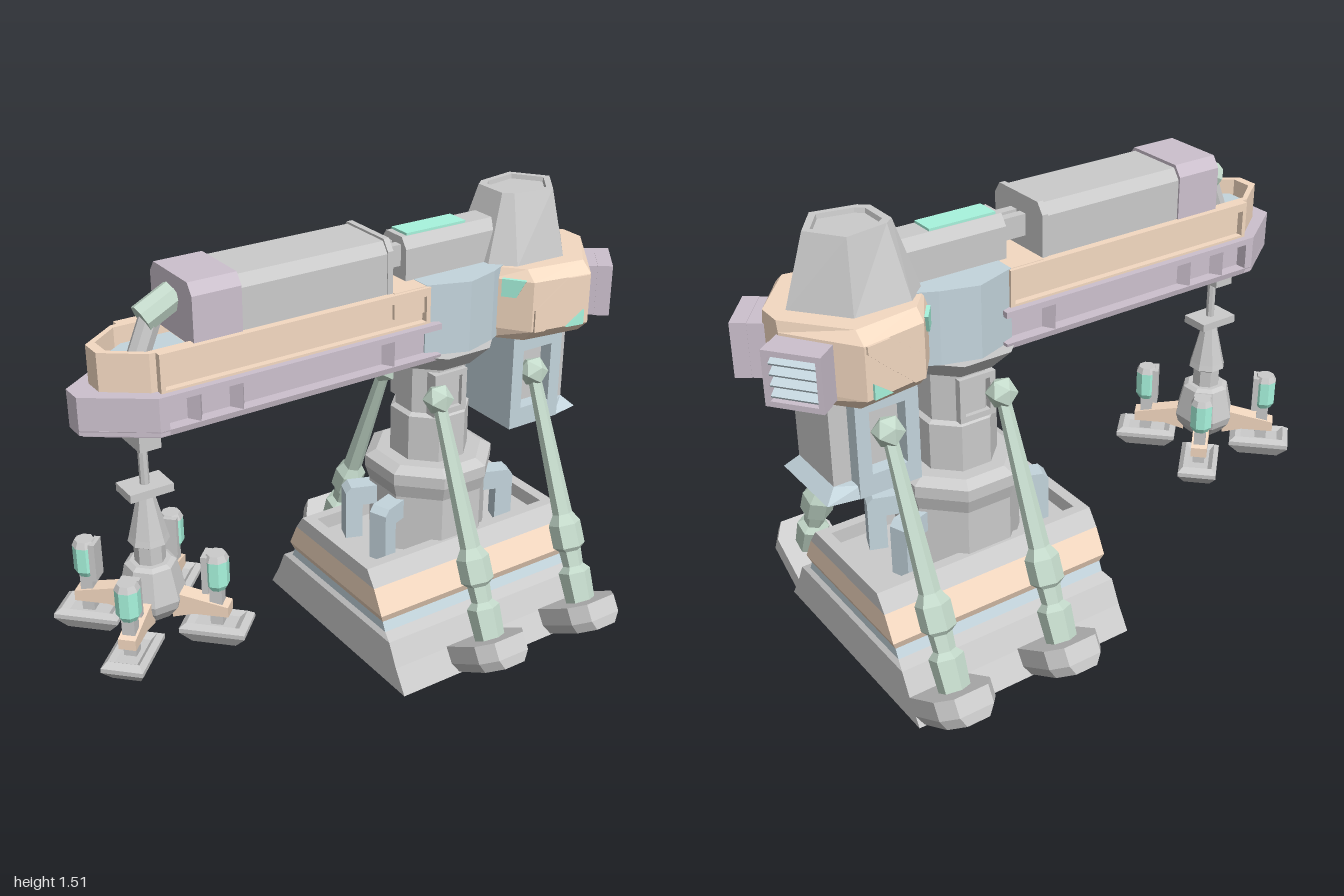
import * as THREE from 'three';

const GREY = 0xcccccc, ORANGE = 0xf5dac2, PURPLE = 0xcdc1ce, BLUE = 0xc4d5dd, GREEN = 0xc6dccd, MINT = 0xa8f5de;
const mats = {};
const mat = c => (mats[c] ??= new THREE.MeshStandardMaterial({ color: c, flatShading: true, side: THREE.DoubleSide }));

function add(parent, name, color, geo, x = 0, y = 0, z = 0) {
  const m = new THREE.Mesh(geo, mat(color));
  m.name = name;
  m.position.set(x, y, z);
  parent.add(m);
  return m;
}
// box given by its min/max on every axis
const box = (p, name, c, x0, x1, y0, y1, z0, z1) =>
  add(p, name, c, new THREE.BoxGeometry(x1 - x0, y1 - y0, z1 - z0), (x0 + x1) / 2, (y0 + y1) / 2, (z0 + z1) / 2);

// plan outlines as [x, z] points
const rect = (x0, x1, h) => [[x0, h], [x1, h], [x1, -h], [x0, -h]];
const sym = half => [...half, ...half.filter(p => p[1] !== 0).reverse().map(([x, z]) => [x, -z])];
const octagon = (cx, h) => Array.from({ length: 8 }, (_, i) => {
  const a = (i + 0.5) * Math.PI / 4, r = h / Math.cos(Math.PI / 8);
  return [cx + r * Math.cos(a), r * Math.sin(a)];
});

// joins plan outlines [y, outline] into one skin, with optional end caps
function stack(parent, name, color, layers, bottom = true, top = true) {
  const loops = layers.map(([y, pts]) => {
    const v = pts.map(([x, z]) => new THREE.Vector2(x, -z));
    if (THREE.ShapeUtils.isClockWise(v)) v.reverse();
    return { y, v };
  });
  const pos = [], put = (l, i) => pos.push(l.v[i].x, l.y, -l.v[i].y);
  for (let k = 0; k + 1 < loops.length; k++) {
    const a = loops[k], b = loops[k + 1], n = a.v.length;
    for (let i = 0; i < n; i++) {
      const j = (i + 1) % n;
      put(a, i); put(a, j); put(b, j);
      put(a, i); put(b, j); put(b, i);
    }
  }
  const cap = (l, flip) => THREE.ShapeUtils.triangulateShape(l.v, []).forEach(f =>
    (flip ? [f[2], f[1], f[0]] : f).forEach(i => put(l, i)));
  if (bottom) cap(loops[0], true);
  if (top) cap(loops.at(-1), false);
  const g = new THREE.BufferGeometry();
  g.setAttribute('position', new THREE.Float32BufferAttribute(pos, 3));
  g.computeVertexNormals();
  return add(parent, name, color, g);
}
const shape = pts => new THREE.Shape(pts.map(p => new THREE.Vector2(...p)));
const extrude = (s, depth) => new THREE.ExtrudeGeometry(s, { depth, bevelEnabled: false }).translate(0, 0, -depth / 2);
// bar along x with a mirrored [z, y] section
const prismX = (p, name, c, x0, x1, half) =>
  add(p, name, c, extrude(shape([...half, ...[...half].reverse().map(([z, y]) => [-z, y])]), x1 - x0).rotateY(Math.PI / 2), (x0 + x1) / 2);
// rectangular frame in the xy plane
function frame(w, h, iw, ih, depth) {
  const s = shape([[-w / 2, -h / 2], [w / 2, -h / 2], [w / 2, h / 2], [-w / 2, h / 2]]);
  s.holes.push(new THREE.Path([[-iw, -ih], [-iw, ih], [iw, ih], [iw, -ih]].map(([x, y]) => new THREE.Vector2(x / 2, y / 2))));
  return extrude(s, depth);
}
const group = (parent, name) => { const g = new THREE.Group(); g.name = name; parent.add(g); return g; };

function buildBase(root) {
  const g = group(root, 'base');
  const r = (y, h, d = 0) => [y, rect(-0.06 + d, 0.75 - d, h)];
  // open-bottomed shell in coloured bands
  stack(g, 'plinth', GREY, [r(0, 0.42), r(0.08, 0.37), r(0.16, 0.33), r(0.175, 0.29, 0.012)], false, false);
  stack(g, 'blueBand', BLUE, [r(0.175, 0.29, 0.012), r(0.207, 0.275, 0.012)], false, false);
  stack(g, 'orangeBand', ORANGE, [r(0.207, 0.275, 0.012), r(0.235, 0.285), r(0.32, 0.24)], false, false);
  stack(g, 'tray', GREY, [r(0.32, 0.24), r(0.375, 0.2), r(0.375, 0.165, 0.04), r(0.325, 0.165, 0.04)], false);
  // pedestal column
  const c = (...rows) => rows.map(([y, h]) => [y, octagon(0.33, h)]);
  stack(g, 'pedestal', GREY, c([0.32, 0.19], [0.53, 0.19], [0.58, 0.205], [0.62, 0.205], [0.64, 0.17]));
  stack(g, 'column', GREY, c([0.63, 0.125], [0.8, 0.125], [0.81, 0.11], [0.97, 0.11], [0.98, 0.135], [1.05, 0.2]));
  add(g, 'columnPanel', GREY, frame(0.13, 0.15, 0.09, 0.11, 0.25), 0.32, 0.885);
  // elbow brackets between tray and pedestal
  for (const a of [0.35, -0.35, Math.PI - 0.35, Math.PI + 0.35]) {
    const b = group(g, 'bracket');
    b.position.x = 0.33;
    b.rotation.y = a;
    const s = shape([[0.15, 0.45], [0.24, 0.45], [0.24, 0.32], [0.3, 0.32], [0.3, 0.5], [0.28, 0.52], [0.15, 0.52]]);
    add(b, 'bracketElbow', BLUE, extrude(s, 0.065));
  }
}

function buildLeg(root, x, side) {
  const g = group(root, 'leg');
  g.position.x = x;
  g.rotation.y = side > 0 ? 0 : Math.PI;
  const sole = (w, l) => [[-w, 0], [w, 0], [w, l - 0.06], [w - 0.04, l], [0.04 - w, l], [-w, l - 0.06]];
  const foot = stack(g, 'foot', GREY, [[-0.095, sole(0.08, 0.225)], [-0.06, sole(0.1, 0.235)], [0, sole(0.1, 0.235)]]);
  foot.position.set(0, 0.08, 0.36);
  foot.rotation.x = -Math.PI / 6;
  const prof = [[0, 0], [0.05, 0], [0.055, 0.11], [0.035, 0.13], [0.038, 0.185], [0.055, 0.2], [0.055, 0.28], [0.034, 0.315], [0.022, 0.8], [0, 0.815]];
  const strut = add(g, 'strut', GREEN, new THREE.LatheGeometry(prof.map(p => new THREE.Vector2(...p)), 6), 0, 0.14, 0.47);
  strut.rotation.x = -Math.atan2(0.32, 0.75);
  add(g, 'ballJoint', GREEN, new THREE.IcosahedronGeometry(0.052, 0), 0, 0.89, 0.15);
}

function buildArm(root) {
  const g = group(root, 'arm');
  const plan = (h, tip, x = 0.24) => sym([[x, h], [-0.75, h], [tip, 0.035]]);
  // lower channel with ribs
  stack(g, 'channelWall', PURPLE, [[1.05, plan(0.13, -0.88)], [1.16, plan(0.13, -0.88)]]);
  stack(g, 'channelFloor', PURPLE, [[1.04, plan(0.165, -0.93)], [1.06, plan(0.17, -0.94)]]);
  stack(g, 'channelTop', PURPLE, [[1.145, plan(0.17, -0.94)], [1.165, plan(0.17, -0.94)]]);
  stack(g, 'nose', PURPLE, [1.045, 1.16].map(y => [y, sym([[-0.72, 0.169], [-0.75, 0.169], [-0.94, 0.034]])]));
  box(g, 'underside', GREY, -0.7, 0.2, 1.036, 1.05, -0.13, 0.13);
  for (const x of [-0.62, -0.48, 0.06])
    stack(g, 'rib', PURPLE, [1.055, 1.15].map(y => [y, sym([[x - 0.03, 0.12], [x, 0.168], [x + 0.03, 0.12]])]));
  // upper rim with a pocket at the tip
  stack(g, 'upperShell', ORANGE, [[1.16, plan(0.125, -0.87)], [1.285, plan(0.125, -0.87)], [1.285, plan(0.105, -0.84, 0.2)], [1.21, plan(0.105, -0.84, 0.2)]]);
  stack(g, 'tipSocket', BLUE, [1.2, 1.24].map(y => [y, sym([[-0.58, 0.085], [-0.74, 0.085], [-0.82, 0.03]])]));
  for (const s of [1, -1])
    add(g, 'sideFrame', ORANGE, frame(0.94, 0.14, 0.91, 0.085, 0.035), -0.26, 1.215, s * 0.13);
  box(g, 'shoulder', ORANGE, 0.08, 0.24, 1.2, 1.287, -0.135, 0.135);
  // barrel on top
  const section = (h, b, t) => [[h, b], [h, t - 0.035], [h - 0.025, t]];
  prismX(g, 'barrel', GREY, -0.5, 0.08, section(0.122, 1.27, 1.45));
  prismX(g, 'barrelSleeve', PURPLE, -0.61, -0.45, section(0.128, 1.27, 1.46));
  prismX(g, 'barrelCollar', GREY, 0.06, 0.08, section(0.125, 1.27, 1.457));
  for (const z of [-0.024, 0.024]) box(g, 'pistonRod', GREY, 0.06, 0.2, 1.33, 1.4, z - 0.015, z + 0.015);
  prismX(g, 'pistonHousing', GREY, 0.17, 0.56, section(0.067, 1.28, 1.425));
  box(g, 'lightStrip', MINT, 0.19, 0.42, 1.41, 1.433, -0.04, 0.04);
  // bent pipe into the tip
  const pipe = add(g, 'pipe', GREEN, new THREE.CylinderGeometry(0.045, 0.045, 0.12, 8), -0.655, 1.365, 0);
  pipe.rotation.z = -1.1;
  const lower = add(g, 'pipeLower', GREY, new THREE.CylinderGeometry(0.035, 0.035, 0.16, 8), -0.7, 1.29, 0);
  lower.rotation.z = -0.4;
}

function buildHead(root) {
  const g = group(root, 'head');
  const hub = sym([[0.2, 0.135], [0.34, 0.185], [0.46, 0.15], [0.56, 0.1]]);
  stack(g, 'hub', BLUE, [[1.05, hub], [1.288, hub]]);
  const head = f => sym([[0.48, 0.12 * f], [0.56, 0.23 * f], [0.77, 0.265 * f], [0.92, 0.05 * f]]);
  stack(g, 'headShell', ORANGE, [[1.04, head(0.84)], [1.08, head(1)], [1.25, head(1)], [1.285, head(0.84)]]);
  // tapered hood with a sunken top
  const low = sym([[0.48, 0.09], [0.55, 0.155], [0.74, 0.16], [0.87, 0]]);
  const high = f => sym([[0.55, 0.06], [0.58, 0.085], [0.72, 0.11], [0.8, 0]]).map(([x, z]) => [0.67 + (x - 0.67) * f, z * f]);
  stack(g, 'hood', GREY, [[1.28, low], [1.505, high(1)], [1.505, high(0.8)], [1.49, high(0.78)]]);
  for (const s of [1, -1]) {
    const trim = shape([[-0.1, -0.01], [0.02, 0.085], [0.1, 0.085], [0.1, 0.06], [-0.06, -0.085], [-0.1, -0.085]]);
    const bar = add(g, 'diagonalTrim', ORANGE, extrude(trim, 0.016), 0.665, 1.165, s * 0.2475);
    bar.rotation.y = -s * 0.165;
    const t1 = add(g, 'sideLight', MINT, extrude(shape([[-0.04, -0.03], [0.01, -0.03], [0.04, 0.03], [-0.04, 0.03]]), 0.02), 0.522, 1.225, s * 0.178);
    t1.rotation.y = -s * 0.94;
    const t2 = add(g, 'sideLight', MINT, extrude(shape([[-0.035, -0.02], [0.03, -0.02], [0.03, 0.03]]), 0.02), 0.72, 1.1, s * 0.255);
    t2.rotation.y = -s * 0.165;
    // louvred vents
    const v = group(g, 'vent');
    v.position.set(0.945, 1.155, s * 0.17);
    v.rotation.y = Math.PI / 2 - s * 0.66;
    add(v, 'ventFrame', PURPLE, frame(0.178, 0.175, 0.145, 0.14, 0.05), 0, 0, -0.025);
    add(v, 'ventBody', PURPLE, new THREE.BoxGeometry(0.176, 0.173, 0.09), 0, 0, -0.085);
    for (let i = 0; i < 4; i++)
      add(v, 'louvre', BLUE, new THREE.BoxGeometry(0.145, 0.008, 0.035).rotateX(0.5), 0, (i - 1.5) * 0.034, -0.022);
  }
  // pod hanging under the head
  add(g, 'podShell', BLUE, frame(0.21, 0.35, 0.12, 0.21, 0.32), 0.655, 0.875, 0);
  box(g, 'podCore', GREY, 0.57, 0.74, 0.75, 1.03, -0.11, 0.11);
  box(g, 'podBack', GREY, 0.75, 0.82, 0.72, 1.05, -0.11, 0.11);
  stack(g, 'podLip', BLUE, [[0.7, sym([[0.75, 0.16], [0.86, 0.14]])], [0.74, sym([[0.75, 0.15], [0.82, 0.11]])]]);
}

function buildClaw(root) {
  const g = group(root, 'claw');
  g.position.x = -0.735;
  const oct = (...rows) => rows.map(([y, h]) => [y, octagon(0, h)]);
  box(g, 'hanger', GREY, -0.035, 0.035, 0.95, 1.05, -0.06, 0.06);
  stack(g, 'cable', GREY, oct([0.8, 0.014], [0.96, 0.014]));
  box(g, 'plate', GREY, -0.072, 0.072, 0.788, 0.815, -0.05, 0.05);
  stack(g, 'neck', GREY, oct([0.54, 0.045], [0.61, 0.045], [0.62, 0.06], [0.64, 0.055], [0.79, 0.022]));
  stack(g, 'body', GREY, oct([0.36, 0.06], [0.4, 0.09], [0.43, 0.098], [0.54, 0.075], [0.55, 0.06]));
  for (let i = 0; i < 4; i++) {
    const a = group(g, 'grabber');
    a.rotation.y = Math.PI / 4 + i * Math.PI / 2;
    const s = shape([[0.07, 0.36], [0.14, 0.38], [0.25, 0.38], [0.25, 0.415], [0.07, 0.45]]);
    add(a, 'grabberArm', ORANGE, extrude(s, 0.055));
    const p = (y, w, h) => [y, rect(0.205 - w, 0.205 + w, h)];
    stack(a, 'pad', GREY, [p(0.29, 0.07, 0.045), p(0.33, 0.105, 0.066), p(0.345, 0.105, 0.066), p(0.36, 0.085, 0.05), p(0.345, 0.065, 0.035)]);
    box(a, 'padPost', GREY, 0.19, 0.23, 0.34, 0.48, -0.02, 0.02);
    const l = (y, h) => [y, octagon(0.212, h)];
    stack(a, 'lamp', MINT, [l(0.47, 0.025), l(0.49, 0.036), l(0.575, 0.036)]);
    stack(a, 'lampCap', GREY, [l(0.575, 0.037), l(0.595, 0.028)]);
    box(a, 'lampClip', GREY, 0.17, 0.19, 0.46, 0.59, -0.03, 0.03);
  }
}

export function createModel() {
  const root = new THREE.Group();
  root.name = 'craneArm';
  buildBase(root);
  for (const x of [0.25, 0.65]) for (const s of [1, -1]) buildLeg(root, x, s);
  buildArm(root);
  buildHead(root);
  buildClaw(root);
  return root;
}
